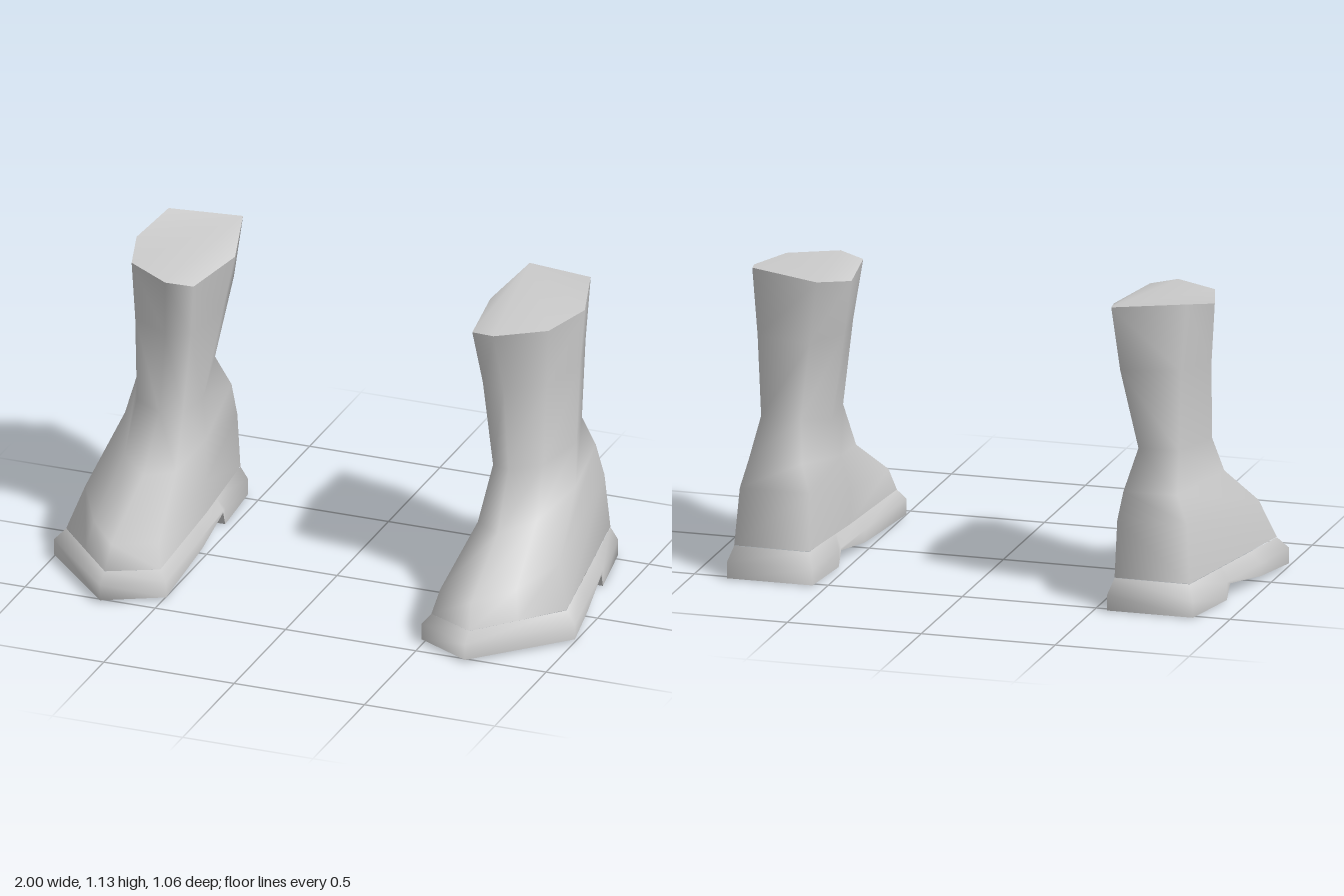
import * as THREE from 'three';

// Cross-sections of the upper, from the welt to the collar.
// Each runs: back inner, back outer, outer side, front outer, front, front inner, inner side.
const UPPER = [
  [[0.57, 0.12, -0.505], [0.85, 0.12, -0.505], [0.96, 0.11, 0.2], [0.83, 0.107, 0.343], [0.7, 0.105, 0.485], [0.52, 0.106, 0.4], [0.54, 0.114, -0.1]],
  [[0.575, 0.33, -0.488], [0.835, 0.33, -0.485], [0.91, 0.26, 0.14], [0.81, 0.21, 0.31], [0.69, 0.195, 0.445], [0.54, 0.19, 0.365], [0.54, 0.24, -0.1]],
  [[0.6, 0.44, -0.495], [0.8, 0.44, -0.49], [0.865, 0.44, -0.13], [0.79, 0.37, 0.06], [0.68, 0.345, 0.16], [0.58, 0.35, 0.1], [0.56, 0.38, -0.15]],
  [[0.63, 0.58, -0.41], [0.78, 0.58, -0.405], [0.84, 0.58, -0.2], [0.78, 0.55, -0.03], [0.67, 0.54, 0.03], [0.595, 0.53, -0.01], [0.585, 0.52, -0.18]],
  [[0.58, 0.88, -0.468], [0.79, 0.88, -0.415], [0.845, 0.87, -0.22], [0.79, 0.86, -0.04], [0.65, 0.85, 0.025], [0.56, 0.85, 0.0], [0.525, 0.86, -0.22]],
  [[0.55, 1.115, -0.48], [0.81, 1.13, -0.415], [0.86, 1.087, -0.23], [0.8, 1.08, -0.03], [0.63, 1.075, 0.075], [0.535, 1.06, 0.04], [0.49, 1.062, -0.25]],
];

const lerp = THREE.MathUtils.lerp;
const outerX = z => 0.87 + 0.173 * (z + 0.53);
const innerX = z => 0.55 - 0.063 * (z + 0.53);

// Underside of the sole, as [z, y] stations: heel, heel breast, arch, ball.
const STATIONS = [[-0.53, 0.003], [-0.265, 0], [-0.24, 0.055], [0, 0.02]];
const bottomLoop = [
  ...STATIONS.map(([z, y]) => [outerX(z), y, z]),
  [1.0, 0.01, 0.22], [0.7, 0.01, 0.53], [0.49, 0.01, 0.42],
  ...STATIONS.map(([z, y]) => [innerX(z), y, z]).reverse(),
];
const edgeLoop = bottomLoop.map(([x, , z]) => [x, 0.066 + 0.008 * z, z]);

// Inset welt line where the sole meets the upper
const welt = (x, z) => [x, 0.1115 - 0.014 * z, z];
const along = (a, b, t) => welt(lerp(a[0], b[0], t), lerp(a[1], b[1], t));
const weltLoop = [
  ...STATIONS.map(([z]) => along([0.85, -0.505], [0.96, 0.2], (z + 0.53) / 0.75)),
  welt(0.96, 0.2), welt(0.7, 0.485), welt(0.52, 0.4),
  ...STATIONS.map(([z]) => along([0.57, -0.505], [0.52, 0.4], (z + 0.53) / 0.95)).reverse(),
];

// Mesh from points and triangles; side = -1 mirrors it across x
function surface(name, points, tris, side, flat, material) {
  let geo = new THREE.BufferGeometry();
  geo.setAttribute('position', new THREE.Float32BufferAttribute(points.flatMap(([x, y, z]) => [x * side, y, z]), 3));
  geo.setIndex(tris.flatMap(([a, b, c]) => (side > 0 ? [a, b, c] : [a, c, b])));
  if (flat) geo = geo.toNonIndexed();
  geo.computeVertexNormals();
  const mesh = new THREE.Mesh(geo, material);
  mesh.name = name;
  return mesh;
}

// Joins closed loops, listed from bottom to top, with a smooth wall
function wall(name, loops, side, material) {
  const n = loops[0].length, tris = [];
  for (let r = 0; r < loops.length - 1; r++) {
    for (let i = 0; i < n; i++) {
      const a = r * n + i, b = r * n + (i + 1) % n;
      tris.push([a, a + n, b], [b, a + n, b + n]);
    }
  }
  return surface(name, loops.flat(), tris, side, false, material);
}

function boot(side, material) {
  const group = new THREE.Group();
  group.name = side > 0 ? 'leftBoot' : 'rightBoot';

  group.add(wall('upper', UPPER, side, material));

  // Closed top of the shaft
  const collar = UPPER[UPPER.length - 1];
  const fan = [];
  for (let i = 1; i < collar.length - 1; i++) fan.push([0, i + 1, i]);
  group.add(surface('shaftTop', collar, fan, side, false, material));

  group.add(wall('soleEdge', [bottomLoop, edgeLoop, weltLoop], side, material));

  // Underside: strips between outer and inner edge, then the toe triangle
  const last = bottomLoop.length - 1, under = [];
  for (let i = 0; i < 4; i++) {
    under.push([last - i, i, i + 1], [last - i, i + 1, last - i - 1]);
  }
  under.push([6, 4, 5]);
  group.add(surface('soleUnderside', bottomLoop, under, side, true, material));
  return group;
}

export function createModel() {
  const grey = new THREE.MeshStandardMaterial({ color: 0xcccccc });
  grey.name = 'light grey';
  const model = new THREE.Group();
  model.name = 'bootPair';
  for (const side of [1, -1]) model.add(boot(side, grey));
  return model;
}
